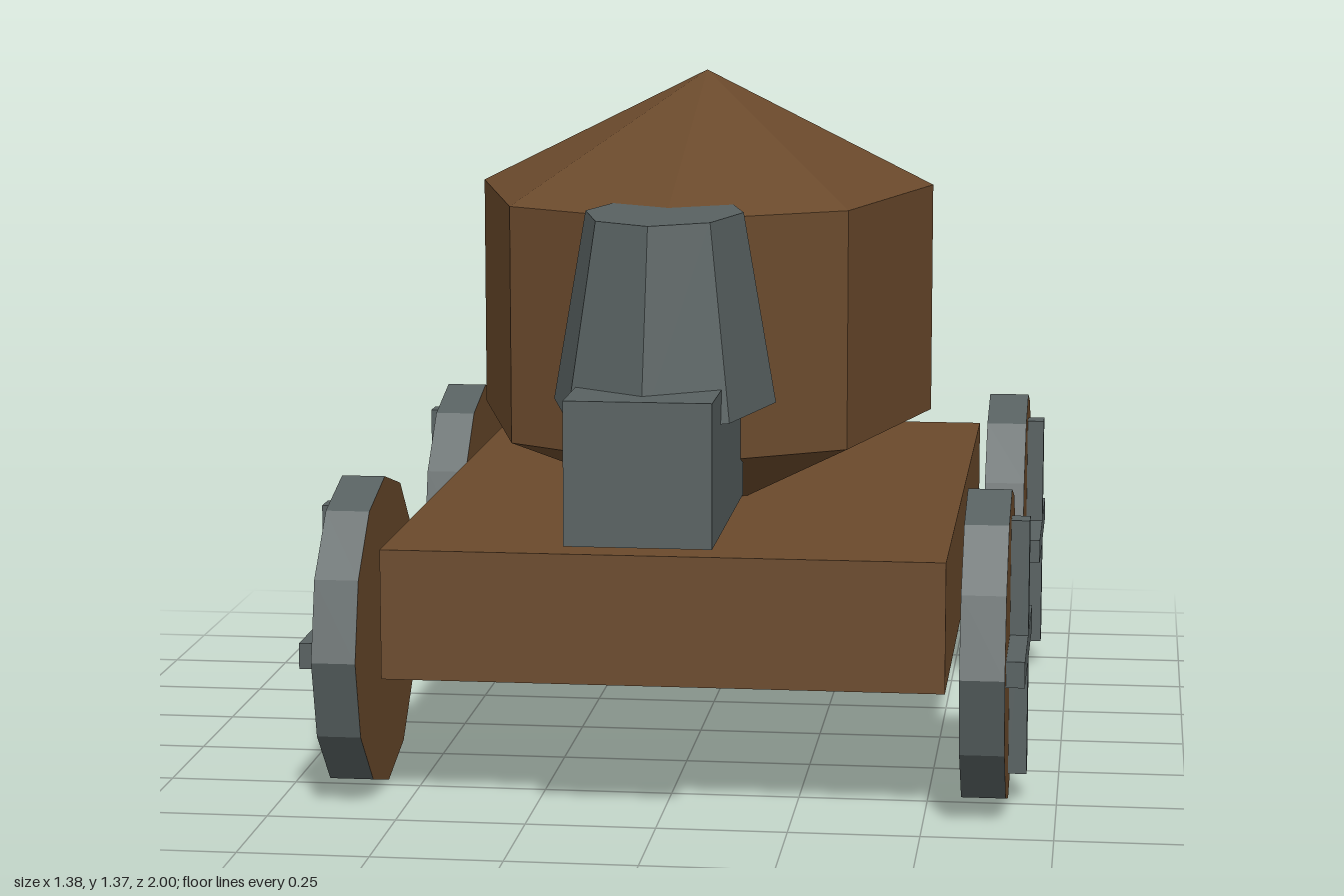
import * as THREE from 'three';

const wood = new THREE.MeshStandardMaterial({ color: 0x6b4a2c, flatShading: true });
wood.name = 'brownWood';
const openWood = wood.clone(); // same brown, seen from both sides
openWood.side = THREE.DoubleSide;
const iron = new THREE.MeshStandardMaterial({ color: 0x586161, flatShading: true });
iron.name = 'greyIron';

function add(parent, name, geometry, material, x = 0, y = 0, z = 0) {
  const mesh = new THREE.Mesh(geometry, material);
  mesh.name = name;
  mesh.position.set(x, y, z);
  parent.add(mesh);
  return mesh;
}

// Twelve-sided wheel with an iron rim, wooden faces and an iron cross on the outside
function makeWheel(side) {
  const wheel = new THREE.Group();
  const disc = new THREE.CylinderGeometry(0.306, 0.306, 0.085, 12).rotateZ(Math.PI / 2);
  add(wheel, 'wheelDisc', disc, [iron, wood, wood]);
  const x = side * 0.06;
  add(wheel, 'uprightSpoke', new THREE.BoxGeometry(0.036, 0.5, 0.05), iron, x);
  for (const s of [-1, 1]) {
    add(wheel, 'levelSpoke', new THREE.BoxGeometry(0.036, 0.05, 0.225), iron, x, 0, s * 0.1375);
  }
  return wheel;
}

export function createModel() {
  const model = new THREE.Group();
  model.name = 'wagon';

  // Cart bed: a shallow box open underneath
  const bed = new THREE.BoxGeometry(1.08, 0.253, 1.585);
  const index = Array.from(bed.index.array);
  index.splice(18, 6); // drop the bottom face
  bed.setIndex(index);
  bed.clearGroups();
  add(model, 'cartBed', bed, openWood, 0, 0.382, -0.122);

  // Barrel body: stretched octagon with a pointed roof and a pointed base sunk in the bed
  const profile = [[0, 0.437], [1, 0.67], [1, 1.138], [0, 1.371]];
  const body = new THREE.LatheGeometry(profile.map(([r, y]) => new THREE.Vector2(r, y)), 8);
  body.scale(0.468, 1, 0.715);
  add(model, 'body', body, wood, 0, 0, -0.12);

  // Head: tapered octagonal helmet above a box-shaped jaw
  const helmet = new THREE.CylinderGeometry(0.15, 0.212, 0.36, 8);
  helmet.scale(1, 1, 1.66);
  add(model, 'helmet', helmet, iron, 0, 0.976, 0.6);
  add(model, 'jaw', new THREE.BoxGeometry(0.27, 0.266, 0.54), iron, 0, 0.724, 0.73);

  // Four wheels
  for (const side of [-1, 1]) {
    for (const [place, z] of [['front', 0.46], ['rear', -0.694]]) {
      const wheel = makeWheel(side);
      wheel.name = place + (side > 0 ? 'Left' : 'Right') + 'Wheel';
      wheel.position.set(side * 0.613, 0.306, z);
      model.add(wheel);
    }
  }
  return model;
}
